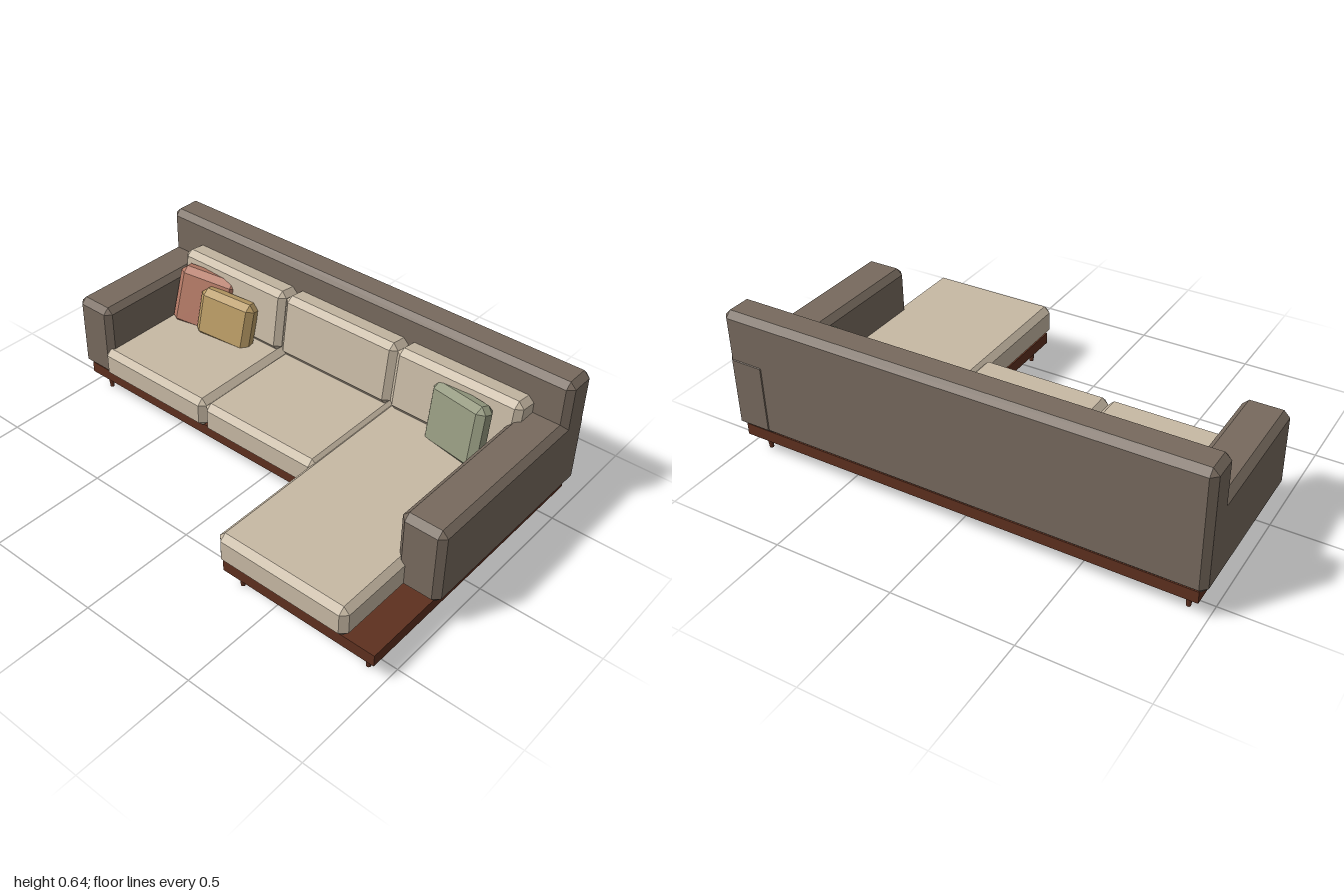
import * as THREE from 'three';
import { ConvexGeometry } from 'three/addons/geometries/ConvexGeometry.js';

const mat = (name, color) => new THREE.MeshStandardMaterial({ name, color });

// Box with every edge and corner cut off by c
function chamferBox(w, h, d, c) {
  const points = [];
  for (const x of [-1, 1]) for (const y of [-1, 1]) for (const z of [-1, 1]) {
    for (const [a, b, e] of [[0, c, c], [c, 0, c], [c, c, 0]]) {
      points.push(new THREE.Vector3(x * (w / 2 - a), y * (h / 2 - b), z * (d / 2 - e)));
    }
  }
  return new ConvexGeometry(points);
}

export function createModel() {
  const sofa = new THREE.Group();
  sofa.name = 'sectionalSofa';
  const taupe = mat('taupeUpholstery', 0x776a5e);
  const cream = mat('creamCushion', 0xc7b9a4);
  const wood = mat('darkWood', 0x5e301f);
  const pink = mat('terracottaPillow', 0xb67b67);
  const ochre = mat('ochrePillow', 0xb99b65);
  const green = mat('sagePillow', 0x93987e);

  function add(name, geometry, material, pos = [0, 0, 0], rot = [0, 0, 0]) {
    const mesh = new THREE.Mesh(geometry, material);
    mesh.name = name;
    mesh.position.set(...pos);
    mesh.rotation.set(rot[0], rot[1], rot[2], 'YXZ');
    sofa.add(mesh);
    return mesh;
  }
  // Chamfered block given by its limits on each axis
  function block(name, material, [x0, x1], [y0, y1], [z0, z1], c = 0.025) {
    add(name, chamferBox(x1 - x0, y1 - y0, z1 - z0, c), material,
      [(x0 + x1) / 2, (y0 + y1) / 2, (z0 + z1) / 2]);
  }

  // L-shaped plinth, drawn in plan and raised
  const plan = new THREE.Shape([
    [-0.97, 0.6], [-0.97, -0.08], [0.29, -0.08], [0.29, -0.6], [0.97, -0.6], [0.97, 0.6],
  ].map(([x, y]) => new THREE.Vector2(x, y)));
  const plinth = new THREE.ExtrudeGeometry(plan, { depth: 0.05, bevelEnabled: false });
  plinth.rotateX(-Math.PI / 2);
  add('plinth', plinth, wood, [0, 0.08, 0]);

  // Tapered legs
  const leg = new THREE.CylinderGeometry(0.016, 0.009, 0.08, 12);
  for (const [x, z] of [[-0.915, -0.54], [0.915, -0.54], [-0.915, 0.03], [0.34, 0.55], [0.915, 0.55]]) {
    add('leg', leg, wood, [x, 0.04, z]);
  }

  // Backrest and arms
  block('backrest', taupe, [-1, 1], [0.13, 0.642], [-0.62, -0.475]);
  block('rightArm', taupe, [-1, -0.818], [0.13, 0.46], [-0.615, 0.1]);
  block('leftArm', taupe, [0.815, 1], [0.13, 0.46], [-0.623, 0.29]);

  // Seat cushions, the last one being the chaise
  block('seatCushion', cream, [-0.858, -0.277], [0.13, 0.265], [-0.48, 0.11]);
  block('seatCushion', cream, [-0.277, 0.297], [0.13, 0.265], [-0.48, 0.11]);
  block('chaiseCushion', cream, [0.275, 0.857], [0.13, 0.265], [-0.48, 0.62]);

  // Back cushions lean backwards
  const backCushion = chamferBox(0.567, 0.275, 0.13, 0.025);
  for (const x of [-0.562, 0.008, 0.575]) {
    add('backCushion', backCushion, cream, [x, 0.395, -0.43], [-0.13, 0, 0]);
  }

  // Throw pillows
  const pillow = (name, material, w, h, pos, rot) =>
    add(name, chamferBox(w, h, 0.085, 0.026), material, pos, rot);
  pillow('terracottaPillow', pink, 0.27, 0.27, [-0.68, 0.362, -0.345], [-0.2, 0.3, -0.12]);
  pillow('ochrePillow', ochre, 0.265, 0.22, [-0.535, 0.345, -0.318], [-0.2, 0.16, -0.06]);
  pillow('sagePillow', green, 0.285, 0.26, [0.63, 0.367, -0.34], [-0.2, -0.27, 0.1]);

  return sofa;
}
